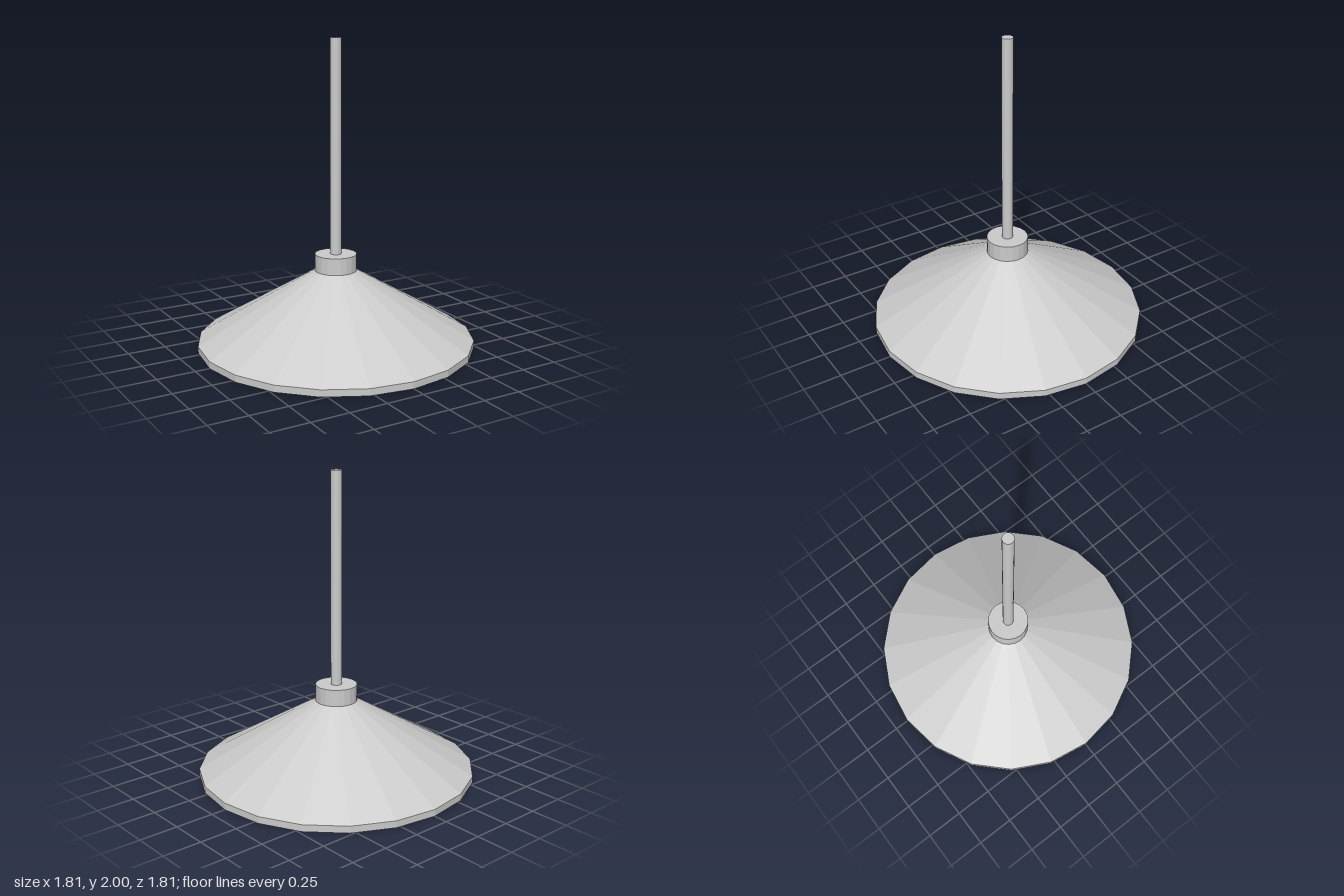
import * as THREE from 'three';

const SIDES = 20;

export function createModel() {
  const group = new THREE.Group();
  group.name = 'pendantLamp';
  const faceted = new THREE.MeshStandardMaterial({ color: 0xcccccc, flatShading: true, side: THREE.DoubleSide });
  const smooth = new THREE.MeshStandardMaterial({ color: 0xcccccc, side: THREE.DoubleSide });

  const add = (name, geometry, material) => {
    const mesh = new THREE.Mesh(geometry, material);
    mesh.name = name;
    group.add(mesh);
    return mesh;
  };
  const lathe = (points, sides) =>
    new THREE.LatheGeometry(points.map(([r, y]) => new THREE.Vector2(r, y)), sides);
  const cylinder = (name, radius, bottom, top) => {
    const mesh = add(name, new THREE.CylinderGeometry(radius, radius, top - bottom, SIDES), faceted);
    mesh.position.y = (bottom + top) / 2;
  };

  // Hanging rod and the collar that holds the shade
  cylinder('rod', 0.036, 0.61, 2);
  cylinder('collar', 0.136, 0.5, 0.61);

  // Shade: inner ceiling, inner cone, upright rim, outer cone
  add('shade', lathe([[0, 0.425], [0.2, 0.425], [0.905, 0], [0.905, 0.045], [0.136, 0.5]], SIDES), faceted);

  // Bulb: round bowl that narrows into a neck
  const bowl = [];
  for (let i = 0; i <= 12; i++) {
    const a = -Math.PI / 2 + (i / 12) * Math.PI * 0.7;
    bowl.push([Math.max(0, 0.153 * Math.cos(a)), 0.153 + 0.153 * Math.sin(a)]);
  }
  const neck = [[0.1, 0.277], [0.079, 0.315], [0.064, 0.355], [0.057, 0.39], [0.055, 0.425]];
  add('bulb', lathe([...bowl, ...neck], 32), smooth);

  return group;
}
